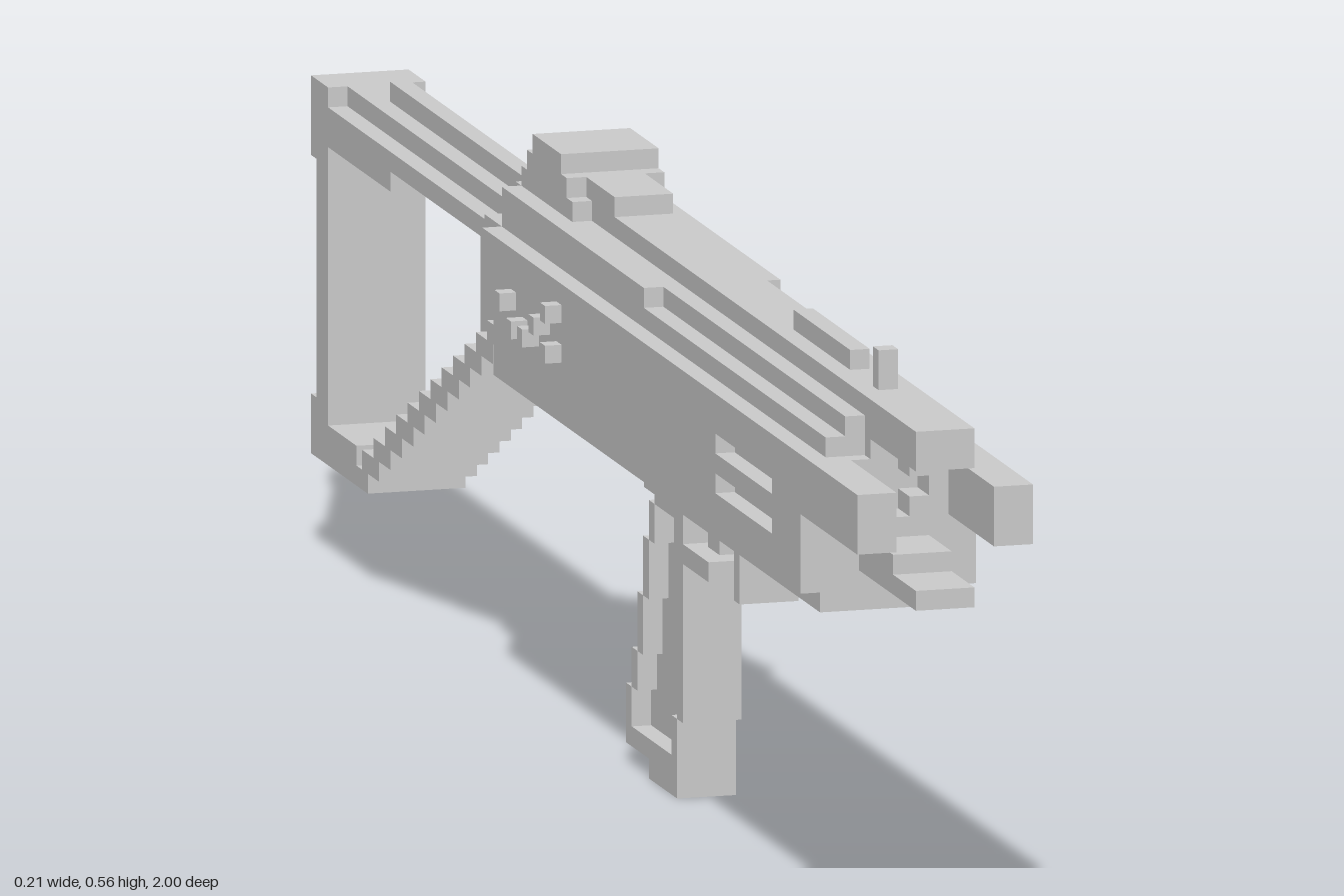
import * as THREE from 'three';

// Grid unit: the model is 103 cells long. i counts cells back from the muzzle, rows count up.
const U = 2 / 103;
const material = new THREE.MeshStandardMaterial({ color: 0xcccccc, flatShading: true });

export function createModel() {
  const model = new THREE.Group();
  const part = (name) => {
    const g = new THREE.Group();
    g.name = name;
    model.add(g);
    return g;
  };
  const addMesh = (g, geometry) => {
    const m = new THREE.Mesh(geometry, material);
    m.name = g.name;
    g.add(m);
    return m;
  };
  // Block from x0..x1, rows y0..y1, cells i0..i1
  const block = (g, x0, x1, y0, y1, i0, i1) => {
    const m = addMesh(g, new THREE.BoxGeometry((x1 - x0) * U, (y1 - y0) * U, (i1 - i0) * U));
    m.position.set((x0 + x1) / 2 * U, (y0 + y1) / 2 * U, 1 - (i0 + i1) / 2 * U);
  };
  // Block centred on x = 0
  const mid = (g, w, y0, y1, i0, i1) => block(g, -w / 2, w / 2, y0, y1, i0, i1);
  const both = (g, x0, x1, ...r) => {
    block(g, x0, x1, ...r);
    block(g, -x1, -x0, ...r);
  };
  const rect = (C, a0, a1, b0, b1) => new C([[a0, b0], [a1, b0], [a1, b1], [a0, b1]]
    .map(([a, b]) => new THREE.Vector2(a * U, b * U)));

  // Receiver core and stepped top and bottom
  const body = part('receiver');
  mid(body, 7, 17, 24, 10, 64);
  mid(body, 7, 16, 17, 10, 41);
  mid(body, 7, 24, 25, 9, 66);
  mid(body, 5, 25, 26, 9, 41);
  mid(body, 7, 25, 26, 41, 66);
  mid(body, 9, 22, 24, 64, 66);
  mid(body, 7, 19, 24, 64, 69);
  mid(body, 5, 17, 19, 64, 70);
  mid(body, 5, 24, 25, 66, 69);
  mid(body, 5, 25, 26, 66, 67);

  // Side plates with two cooling slots each
  const plates = part('slottedSidePlate');
  for (const side of [-1, 1]) {
    const shape = rect(THREE.Shape, -64, -10, 17, 24);
    for (const y of [19, 21]) shape.holes.push(rect(THREE.Path, -25, -15, y, y + 1));
    const geo = new THREE.ExtrudeGeometry(shape, { depth: U, bevelEnabled: false });
    geo.rotateY(-Math.PI / 2);
    const m = addMesh(plates, geo);
    m.position.set((side > 0 ? 4.5 : -3.5) * U, 0, 1);
  }

  // Muzzle prongs
  const prongs = part('muzzleProngs');
  both(prongs, 2.5, 4.5, 21, 24, 0, 10);
  mid(prongs, 3, 18, 19, 0, 10);
  mid(prongs, 3, 19, 20, 4, 10);

  // Barrel ring with a cross-shaped bore
  const barrel = part('barrel');
  const cross = (C, a, b) => new C([[a, -b], [a, b], [b, b], [b, a], [-b, a], [-b, b],
    [-a, b], [-a, -b], [-b, -b], [-b, -a], [b, -a], [b, -b]]
    .map(([x, y]) => new THREE.Vector2(x * U, y * U)));
  const ring = cross(THREE.Shape, 2.5, 1.5);
  ring.holes.push(cross(THREE.Path, 1.5, 0.5));
  const ringMesh = addMesh(barrel, new THREE.ExtrudeGeometry(ring, { depth: 2 * U, bevelEnabled: false }));
  ringMesh.position.set(0, 22.5 * U, 1 - 10 * U);

  // Top rail and sights
  const rail = part('topRail');
  mid(rail, 3, 25, 27, 0, 56);
  mid(rail, 1, 27, 28, 15, 25);
  const front = part('frontSight');
  mid(front, 1, 27, 29, 10, 11);
  const rear = part('rearSight');
  mid(rear, 3, 26, 28, 53, 59);
  mid(rear, 5, 26, 27, 57, 66);
  mid(rear, 5, 27, 28, 58, 65);
  mid(rear, 5, 28, 29, 59, 64);

  // Studs on both sides
  const studs = part('sideStuds');
  for (const [i, y] of [[52, 22], [52, 20], [54, 21], [56, 20], [58, 20], [60, 21]])
    both(studs, 4.4, 5.35, y + 0.05, y + 0.95, i + 0.05, i + 0.95);

  // Folding stock: top bar, caps, post, strut and stepped lower arm
  const stock = part('stock');
  mid(stock, 5, 22, 23, 66, 103);
  mid(stock, 3, 23, 24, 66, 100);
  mid(stock, 1, 24, 25, 66, 96);
  mid(stock, 5, 21, 22, 89, 103);
  mid(stock, 5, 20, 24, 100, 103);
  mid(stock, 5, 7, 20, 100, 102);
  mid(stock, 5, 5, 7, 95, 103);
  mid(stock, 5, 7, 8, 100, 103);
  const strut = part('stockStrut');
  mid(strut, 1, 14, 22, 77, 80);
  const arm = part('stockLowerArm');
  for (let k = 0; k < 13; k++) mid(arm, 5, 17 - k, 18 - k, 69 + 2 * k, 72 + 2 * k);

  // Pistol grip: each entry is a run of rows with its front and back cells
  const grip = part('grip');
  const rows = [[0, 1, 42, 47], [1, 4, 42, 51], [4, 6, 41, 50], [6, 9, 41, 49],
    [9, 12, 41, 48], [12, 14, 41, 47], [14, 15, 41, 46]];
  for (const [y0, y1, a, b] of rows) {
    if (y0 === 0 || y0 === 14) {
      mid(grip, 3, y0, y1, a, b);
      continue;
    }
    mid(grip, 1, y0, y1, a, b);           // recessed panel
    mid(grip, 3, y0, y1, a, a + 1);       // front strap
    mid(grip, 3, y0, y1, b - 1, b);       // back strap
  }
  mid(grip, 3, 1, 2, 42, 51);
  mid(grip, 3, 15, 16, 42, 48);
  mid(grip, 5, 16, 17, 41, 49);

  // Trigger, guard and front peg
  const trigger = part('trigger');
  mid(trigger, 1, 13, 16, 38, 40);
  mid(trigger, 3, 12, 13, 36.5, 41);
  const peg = part('frontPeg');
  mid(peg, 3, 12, 16, 31, 32);

  return model;
}
